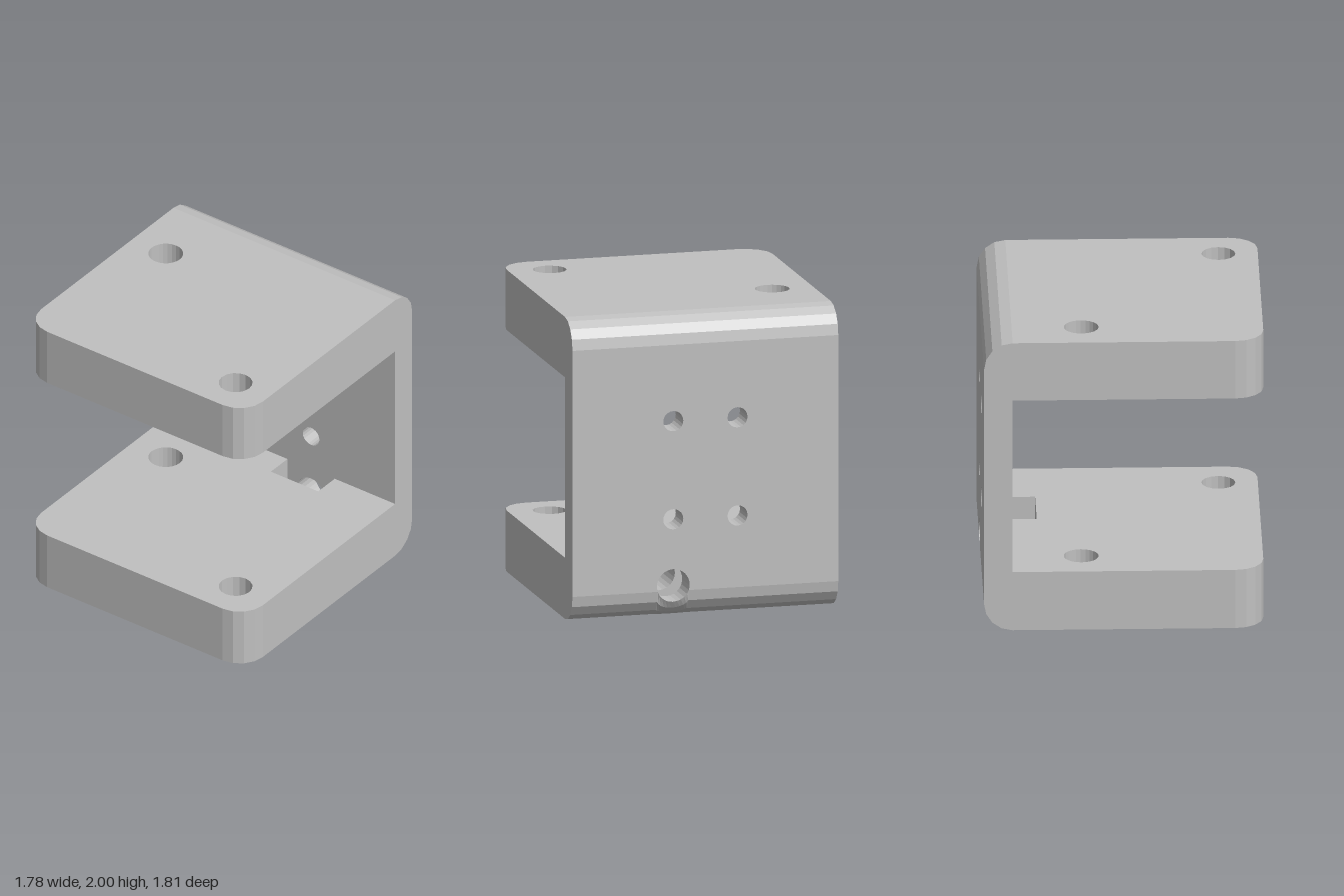
import * as THREE from 'three';

// Main dimensions
const W = 0.89, D = 0.905, R = 0.185;      // half width, half depth, corner radius
const INNER = -0.72;                       // inner face of the back wall
const LOW = 0.405, HIGH = 1.6;             // inner faces of the two plates
const BOLT = { x: 0.215, y: 0.22, r: 0.11 };
const NOTCH = { x0: 0.025, x1: 0.405, z: -0.54, end: -0.3 };

const arc = (cx, cy, r, a0, a1, n) => Array.from({ length: n + 1 }, (_, i) => {
  const a = a0 + (a1 - a0) * i / n;
  return new THREE.Vector2(cx + r * Math.cos(a), cy + r * Math.sin(a));
});
const pt = (x, y) => new THREE.Vector2(x, y);
const circle = (cx, cy, r, n) => new THREE.Path(arc(cx, cy, r, 0, Math.PI * 2, n).slice(0, -1));

function extrude(points, holes, depth) {
  const shape = new THREE.Shape(points);
  shape.holes.push(...holes);
  return new THREE.ExtrudeGeometry(shape, { depth, bevelEnabled: false });
}

// Horizontal plate with rounded front corners; shape y runs towards -z
function plate(y, height, backCut) {
  const points = [
    ...arc(-W + R, -D + R, R, Math.PI, Math.PI * 1.5, 4),
    ...arc(W - R, -D + R, R, -Math.PI / 2, 0, 4),
    pt(W, -INNER), ...backCut, pt(-W, -INNER),
  ];
  const holes = [circle(-0.62, 0.27, 0.113, 24), circle(0.62, -0.65, 0.11, 16)];
  return extrude(points, holes, height).rotateX(-Math.PI / 2).translate(0, y, 0);
}

// Rounded edge lofted along x; each column gives x and the height it reaches
function roundedEdge(columns) {
  const pos = [], n = 4;
  const rings = columns.map(({ x, y: top }) => {
    const end = Math.acos(1 - top / R), ring = [];
    for (let i = 0; i <= n; i++) {
      const a = end * i / n;
      ring.push([x, R * (1 - Math.cos(a)), INNER - R * Math.sin(a)]);
    }
    ring.push([x, top, INNER]);
    return ring;
  });
  const tri = (...corners) => corners.forEach(c => pos.push(...c));
  for (let i = 0; i < rings.length - 1; i++) {
    const p = rings[i], q = rings[i + 1];
    for (let j = 0; j < p.length; j++) {
      const k = (j + 1) % p.length;
      tri(p[j], p[k], q[k]);
      tri(p[j], q[k], q[j]);
    }
  }
  const first = rings[0], last = rings[rings.length - 1];
  for (let j = 1; j < first.length - 1; j++) {
    tri(first[0], first[j + 1], first[j]);
    tri(last[0], last[j], last[j + 1]);
  }
  const g = new THREE.BufferGeometry();
  g.setAttribute('position', new THREE.Float32BufferAttribute(pos, 3));
  g.computeVertexNormals();
  return g;
}

export function createModel() {
  const group = new THREE.Group();
  const grey = new THREE.MeshStandardMaterial({ color: 0xc0c0c0 });
  grey.name = 'light grey';
  const add = (name, geometry) => {
    const mesh = new THREE.Mesh(geometry, grey);
    mesh.name = name;
    group.add(mesh);
  };

  // Plates; the lower one has a nut slot at the back
  const { x0, x1, z, end } = NOTCH;
  add('upperPlate', plate(HIGH, 2 - HIGH, []));
  add('lowerPlate', plate(0, LOW, [pt(x1, -INNER), pt(x1, -end), pt(x0, -end), pt(x0, -INNER)]));

  // Bored block in front of the nut slot
  add('boltBore', extrude([pt(x0, 0), pt(x1, 0), pt(x1, LOW), pt(x0, LOW)],
    [circle(BOLT.x, BOLT.y, BOLT.r, 24)], end - z).translate(0, 0, z));

  // Back wall with four screw holes and the upper part of the bolt hole
  const tilt = Math.asin((BOLT.y - R) / BOLT.r);
  const wall = [
    pt(-W, R), ...arc(BOLT.x, BOLT.y, BOLT.r, Math.PI + tilt, -tilt, 14),
    pt(W, R), pt(W, 2 - R), pt(-W, 2 - R),
  ];
  const screws = [];
  for (const x of [-0.215, 0.215]) for (const y of [0.66, 1.31]) screws.push(circle(x, y, 0.067, 20));
  add('backWall', extrude(wall, screws, INNER + D).translate(0, 0, -D));

  // Rounded back edges; the lower one holds the rest of the bolt hole
  const under = arc(BOLT.x, BOLT.y, BOLT.r, Math.PI + tilt, Math.PI * 2 - tilt, 10);
  add('lowerBackEdge', roundedEdge([pt(-W, R), ...under, pt(W, R)]));
  add('upperBackEdge', roundedEdge([pt(-W, R), pt(W, R)]).rotateZ(Math.PI).translate(0, 2, 0));

  // Raised pad under the upper plate
  add('pad', new THREE.BoxGeometry(0.76, 0.065, 0.375).translate(0, 1.5775, 0.0975));
  return group;
}
